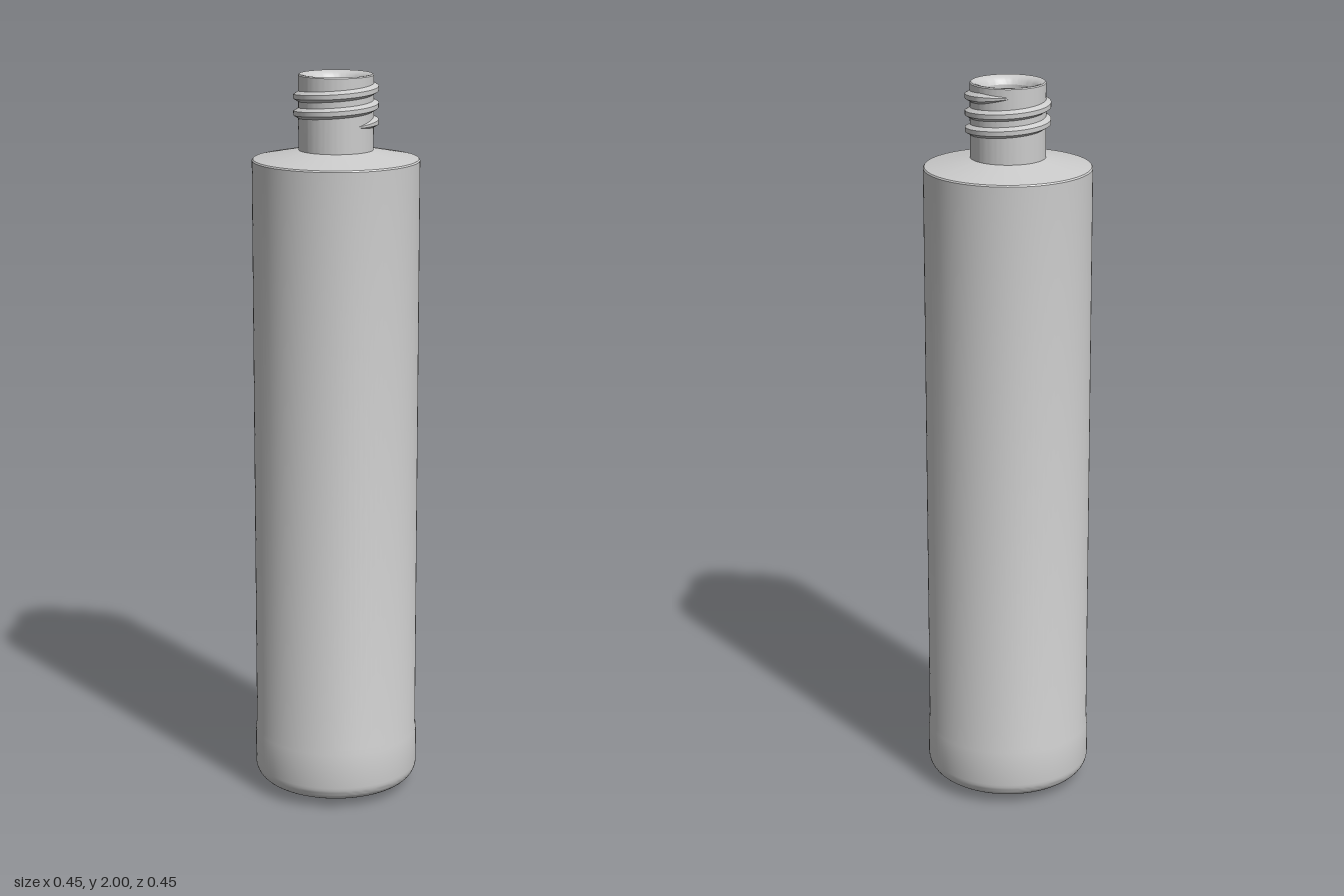
import * as THREE from 'three';
import { toCreasedNormals } from 'three/addons/utils/BufferGeometryUtils.js';

const material = new THREE.MeshStandardMaterial({ color: 0xcccccc });

function addPart(group, name, geometry) {
  const mesh = new THREE.Mesh(toCreasedNormals(geometry, 0.45), material);
  mesh.name = name;
  group.add(mesh);
}

// Revolved part from [radius, height] pairs, ordered from bottom to top of the outside
function lathe(points) {
  return new THREE.LatheGeometry(points.map(([r, y]) => new THREE.Vector2(r, y)), 96);
}

// Quarter arc of [radius, height] pairs
function arc(cx, cy, radius, from, to, steps) {
  return Array.from({ length: steps + 1 }, (_, i) => {
    const a = from + ((to - from) * i) / steps;
    return [Math.max(0, cx + radius * Math.cos(a)), cy + radius * Math.sin(a)];
  });
}

// Helical ridge with a trapezoid section, fading into the neck at both ends
function helix({ radius, depth, yStart, pitch, turns }) {
  const steps = Math.round(turns * 72);
  const positions = [];
  const index = [];
  for (let i = 0; i <= steps; i++) {
    const t = i / steps;
    const angle = t * turns * Math.PI * 2;
    const fade = Math.min(1, Math.min(t, 1 - t) * turns * 8);
    const y = yStart + pitch * t * turns;
    const section = [
      [radius - 0.003, -0.016],
      [radius + depth * fade, -0.006],
      [radius + depth * fade, 0.006],
      [radius - 0.003, 0.016],
    ];
    for (const [r, dy] of section) {
      positions.push(r * Math.sin(angle), y + dy * (0.3 + 0.7 * fade), r * Math.cos(angle));
    }
    if (i === steps) continue;
    for (let j = 0; j < 3; j++) {
      const a = i * 4 + j;
      index.push(a, a + 4, a + 5, a, a + 5, a + 1);
    }
  }
  const geometry = new THREE.BufferGeometry();
  geometry.setAttribute('position', new THREE.Float32BufferAttribute(positions, 3));
  geometry.setIndex(index);
  geometry.computeVertexNormals();
  return geometry;
}

export function createModel() {
  const group = new THREE.Group();
  group.name = 'bottle';

  // Cylindrical body with a domed underside, wider foot band and sloping shoulder
  addPart(group, 'body', lathe([
    [0, 0], [0.06, 0.004], [0.12, 0.011], [0.175, 0.02],
    ...arc(0.182, 0.065, 0.045, -Math.PI / 2 + 0.2, 0, 8),
    [0.227, 0.165], [0.224, 0.175],
    [0.224, 1.772], [0.221, 1.776],
    [0.1, 1.8],
  ]));

  // Hollow neck with a softly dished rim and a rounded well inside
  addPart(group, 'neck', lathe([
    [0.1, 1.79], [0.1, 1.997], [0.097, 2],
    [0.09, 1.999], [0.08, 1.995], [0.072, 1.988], [0.067, 1.978],
    ...arc(0, 1.84, 0.067, 0, -Math.PI / 2, 12),
  ]));

  // Screw thread around the neck
  addPart(group, 'thread', helix({
    radius: 0.1, depth: 0.013, yStart: 1.868, pitch: 0.044, turns: 2.4,
  }));

  return group;
}
